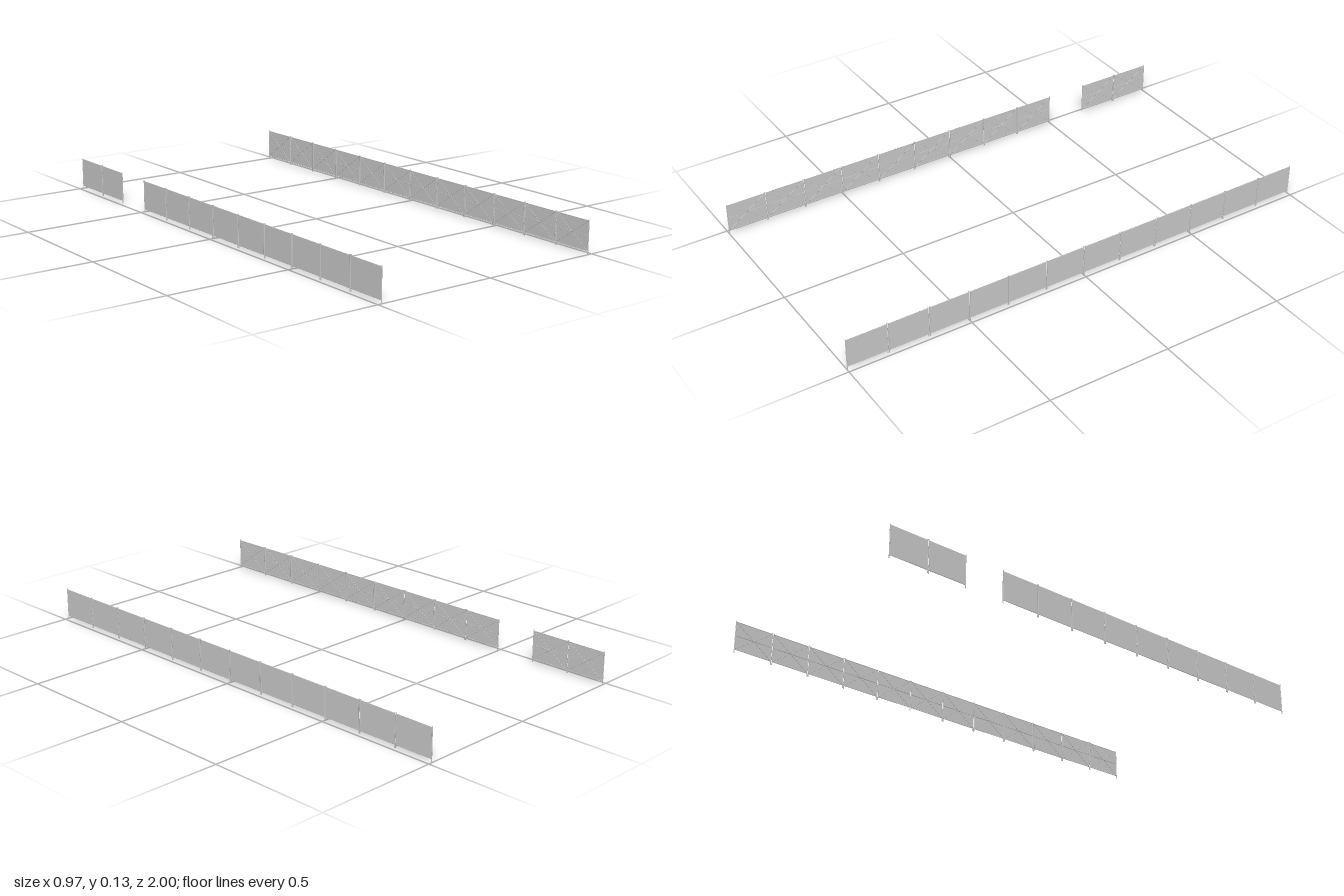
import * as THREE from 'three';

const PITCH = 1 / 6;      // length of one fence panel along z
const HALF = 0.0807;      // panel centre to post centre
const HEIGHT = 0.131;
const LOW = 0.012, HIGH = 0.127;
const ROW_X = 0.483;

const material = new THREE.MeshStandardMaterial({ color: 0xcccccc });

function addMesh(parent, name, geometry, x, y, z) {
  const mesh = new THREE.Mesh(geometry, material);
  mesh.name = name;
  mesh.position.set(x, y, z);
  parent.add(mesh);
  return mesh;
}

// One panel in the y-z plane; its outer, sheeted face looks along +x.
function createPanel() {
  const panel = new THREE.Group();
  panel.name = 'fencePanel';

  // Covering sheet
  addMesh(panel, 'sheet', new THREE.BoxGeometry(0.0008, HIGH - LOW, 2 * HALF),
    0.0008, (LOW + HIGH) / 2, 0);

  // Upright posts
  const postGeometry = new THREE.CylinderGeometry(0.0018, 0.0018, HEIGHT, 8);
  for (const side of [-1, 1]) {
    addMesh(panel, 'post', postGeometry, 0, HEIGHT / 2, side * HALF);
  }

  // Bottom, middle and top rails
  const railGeometry = new THREE.CylinderGeometry(0.0011, 0.0011, 2 * HALF, 6);
  for (const y of [LOW, (LOW + HIGH) / 2, HIGH]) {
    addMesh(panel, 'rail', railGeometry, 0, y, 0).rotation.x = Math.PI / 2;
  }

  // Crossed braces on the inner face
  const rise = HIGH - LOW;
  const braceGeometry = new THREE.CylinderGeometry(0.0008, 0.0008, Math.hypot(rise, 2 * HALF), 6);
  for (const side of [-1, 1]) {
    addMesh(panel, 'brace', braceGeometry, -0.0006, (LOW + HIGH) / 2, 0)
      .rotation.x = side * Math.atan2(2 * HALF, rise);
  }
  return panel;
}

// A row of twelve panels, optionally leaving one out as an entrance.
function createRow(name, side, openIndex) {
  const row = new THREE.Group();
  row.name = name;
  const template = createPanel();
  for (let i = 0; i < 12; i++) {
    if (i === openIndex) continue;
    const panel = template.clone();
    panel.position.set(side * ROW_X, 0, (i - 5.5) * PITCH);
    if (side < 0) panel.rotation.y = Math.PI;
    row.add(panel);
  }
  return row;
}

export function createModel() {
  const model = new THREE.Group();
  model.name = 'fenceRows';
  model.add(createRow('leftFence', 1, -1));
  model.add(createRow('rightFence', -1, 2)); // entrance near the back
  return model;
}
